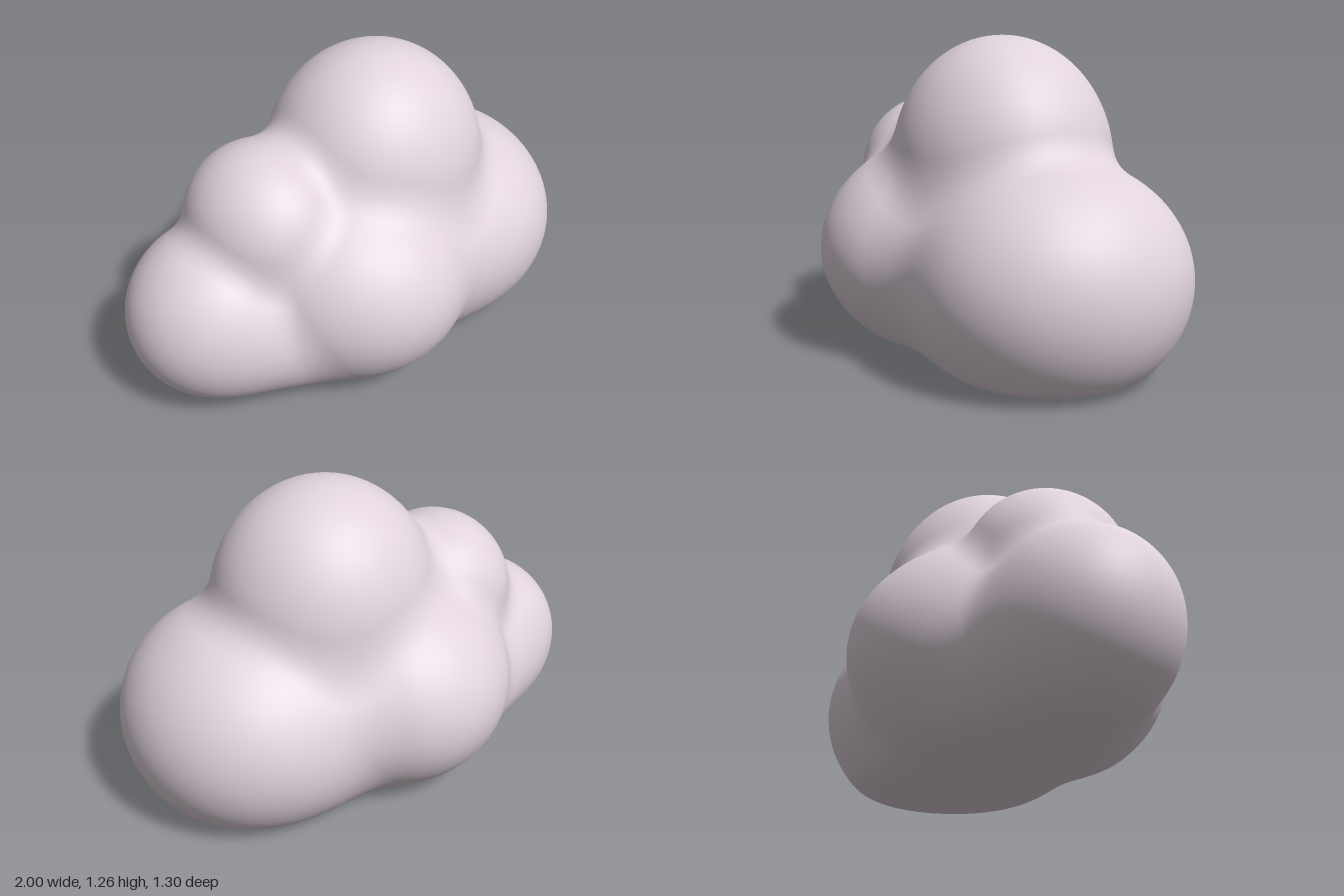
import * as THREE from 'three';

// Puffs of the cloud: centre and radii of each ellipsoid, and how softly it joins the others
const puffs = [
  { c: [-0.09, 0.4, 0], r: [0.54, 0.48, 0.65], blend: 0.05 },  // wide middle
  { c: [-0.05, 0.3, 0], r: [0.85, 0.4, 0.5], blend: 0.05 },    // flat base filling the underside
  { c: [0.5, 0.36, 0], r: [0.5, 0.46, 0.53], blend: 0.2 },     // large side puff
  { c: [-0.63, 0.36, 0], r: [0.37, 0.36, 0.35], blend: 0.08 }, // small side puff
  { c: [-0.4, 0.68, 0], r: [0.31, 0.32, 0.33], blend: 0.07 },  // small shoulder
  { c: [0.14, 0.76, 0], r: [0.46, 0.5, 0.43], blend: 0.1 },    // tall crown
];
const FLOOR_BLEND = 0.06;

function smoothMin(a, b, k) {
  const h = Math.max(k - Math.abs(a - b), 0) / k;
  return Math.min(a, b) - h * h * k * 0.25;
}

// Approximate signed distance to an ellipsoid
function ellipsoid(x, y, z, { c, r }) {
  const p = [x - c[0], y - c[1], z - c[2]];
  const k0 = Math.hypot(p[0] / r[0], p[1] / r[1], p[2] / r[2]);
  const k1 = Math.hypot(p[0] / r[0] ** 2, p[1] / r[1] ** 2, p[2] / r[2] ** 2);
  return k1 < 1e-6 ? -Math.min(...r) : k0 * (k0 - 1) / k1;
}

// Softly joined puffs with a softly flattened underside
function cloudDistance(x, y, z) {
  let d = 10;
  for (const puff of puffs) d = smoothMin(d, ellipsoid(x, y, z, puff), puff.blend);
  return -smoothMin(-d, y - 0.003, FLOOR_BLEND);
}

// Push every vertex of a ball out to the cloud surface
function cloudGeometry() {
  const geometry = new THREE.IcosahedronGeometry(1, 56);
  const pos = geometry.attributes.position;
  const normal = geometry.attributes.normal;
  const core = new THREE.Vector3(0, 0.45, 0);
  const dir = new THREE.Vector3();
  const p = new THREE.Vector3();
  const n = new THREE.Vector3();
  const e = 0.004;
  for (let i = 0; i < pos.count; i++) {
    dir.fromBufferAttribute(pos, i).normalize();
    let near = 0, far = 1.5;
    for (let step = 0; step < 20; step++) {
      const mid = (near + far) / 2;
      p.copy(core).addScaledVector(dir, mid);
      if (cloudDistance(p.x, p.y, p.z) < 0) near = mid;
      else far = mid;
    }
    p.copy(core).addScaledVector(dir, near);
    n.set(
      cloudDistance(p.x + e, p.y, p.z) - cloudDistance(p.x - e, p.y, p.z),
      cloudDistance(p.x, p.y + e, p.z) - cloudDistance(p.x, p.y - e, p.z),
      cloudDistance(p.x, p.y, p.z + e) - cloudDistance(p.x, p.y, p.z - e),
    ).normalize();
    pos.setXYZ(i, p.x, p.y, p.z);
    normal.setXYZ(i, n.x, n.y, n.z);
  }
  return geometry;
}

export function createModel() {
  const group = new THREE.Group();
  group.name = 'cloud';
  const material = new THREE.MeshStandardMaterial({ color: 0xe0d3dd });
  material.name = 'pale mauve';
  const body = new THREE.Mesh(cloudGeometry(), material);
  body.name = 'cloudBody';
  group.add(body);

  // Rest on the ground
  const box = new THREE.Box3().setFromObject(body);
  body.position.y = -box.min.y;
  return group;
}
